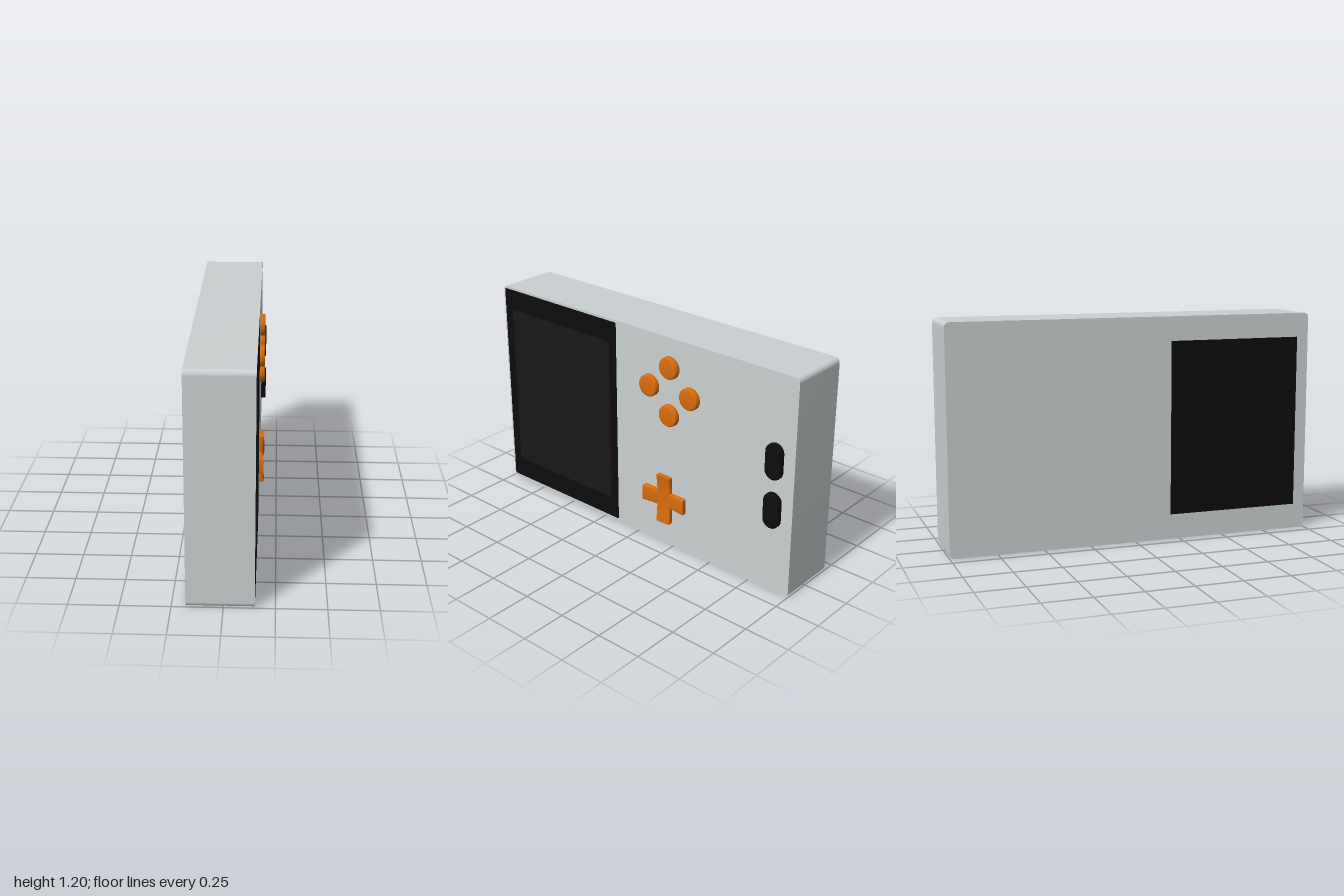
import * as THREE from 'three';
import { toCreasedNormals } from 'three/addons/utils/BufferGeometryUtils.js';

const FACE = 0.151; // x of the control face
const BACK = -0.181; // x of the rear face
const TOP = 0.178; // x of the button tops

const material = (color) => new THREE.MeshStandardMaterial({ color });
const shellMat = material(0xcad0d1);
const orangeMat = material(0xd96c0c);
const blackMat = material(0x0d0d0d);
const screenMat = material(0x181818);

// Rounded rectangle centred on the origin
function roundedRect(w, h, r) {
  const s = new THREE.Shape();
  const x = w / 2 - r, y = h / 2 - r;
  s.absarc(x, y, r, 0, Math.PI / 2);
  s.absarc(-x, y, r, Math.PI / 2, Math.PI);
  s.absarc(-x, -y, r, Math.PI, Math.PI * 1.5);
  s.absarc(x, -y, r, Math.PI * 1.5, Math.PI * 2);
  s.closePath();
  return s;
}

// Rounded slab lying in the yz plane, running from x0 to x1, with an optional bevel
function slab(name, mat, { w, h, r, x0, x1, y, z, bevel = 0 }) {
  let geo = new THREE.ExtrudeGeometry(roundedRect(w, h, r), {
    depth: x1 - x0 - 2 * bevel,
    curveSegments: 12,
    bevelEnabled: bevel > 0,
    bevelSize: bevel,
    bevelThickness: bevel,
    bevelOffset: -bevel,
    bevelSegments: 4,
  });
  geo.translate(0, 0, bevel);
  geo.rotateY(Math.PI / 2);
  geo = toCreasedNormals(geo, 0.7);
  const mesh = new THREE.Mesh(geo, mat);
  mesh.name = name;
  mesh.position.set(x0, y, z);
  return mesh;
}

// Bar of the direction pad: low in the middle, rising to both tips
function padBar(name, length, width) {
  const bevel = 0.006, half = length / 2, flat = width / 2;
  const base = FACE - 0.015, low = TOP - 0.009;
  const shape = new THREE.Shape();
  shape.moveTo(base, -half);
  shape.lineTo(TOP, -half);
  shape.quadraticCurveTo(low + 0.001, -half * 0.6, low, -flat);
  shape.lineTo(low, flat);
  shape.quadraticCurveTo(low + 0.001, half * 0.6, TOP, half);
  shape.lineTo(base, half);
  shape.closePath();
  const geo = new THREE.ExtrudeGeometry(shape, {
    depth: width - 2 * bevel,
    curveSegments: 6,
    bevelSize: bevel,
    bevelThickness: bevel,
    bevelOffset: -bevel,
    bevelSegments: 3,
  });
  geo.translate(0, 0, -width / 2 + bevel);
  const mesh = new THREE.Mesh(toCreasedNormals(geo, 0.6), orangeMat);
  mesh.name = name;
  return mesh;
}

export function createModel() {
  const model = new THREE.Group();
  model.name = 'handheldConsole';

  // Case
  model.add(slab('case', shellMat, { w: 2, h: 1.2, r: 0.025, x0: BACK, x1: FACE, y: 0.6, z: 0 }));

  // Bezel and screen, plus the matching dark panel on the rear
  model.add(slab('bezel', blackMat, {
    w: 0.84, h: 1.17, r: 0.006, x0: FACE - 0.01, x1: FACE + 0.001, y: 0.602, z: 0.57,
  }));
  const panel = { w: 0.735, h: 0.935, r: 0.001, y: 0.603, z: 0.567 };
  model.add(slab('screen', screenMat, { ...panel, x0: FACE - 0.01, x1: FACE + 0.003 }));
  model.add(slab('rearPanel', blackMat, { ...panel, x0: BACK - 0.002, x1: BACK + 0.01 }));

  // Four round action buttons in a diamond
  const buttons = new THREE.Group();
  buttons.name = 'actionButtons';
  for (let i = 0; i < 4; i++) {
    const a = (i * Math.PI) / 2;
    buttons.add(slab(`actionButton${i + 1}`, orangeMat, {
      w: 0.119, h: 0.119, r: 0.0594, x0: FACE - 0.015, x1: TOP, bevel: 0.01,
      y: 0.908 + 0.132 * Math.sin(a), z: -0.222 + 0.134 * Math.cos(a),
    }));
  }
  model.add(buttons);

  // Direction pad from two crossed bars
  const pad = new THREE.Group();
  pad.name = 'directionPad';
  const upright = padBar('uprightBar', 0.28, 0.09);
  const level = padBar('levelBar', 0.28, 0.09);
  level.rotation.x = Math.PI / 2;
  pad.add(upright, level);
  pad.position.set(0, 0.275, -0.192);
  model.add(pad);

  // Two pill-shaped menu buttons
  [0.738, 0.468].forEach((y, i) => {
    model.add(slab(`menuButton${i + 1}`, blackMat, {
      w: 0.097, h: 0.195, r: 0.0484, x0: FACE - 0.015, x1: TOP, bevel: 0.01, y, z: -0.886,
    }));
  });

  return model;
}
